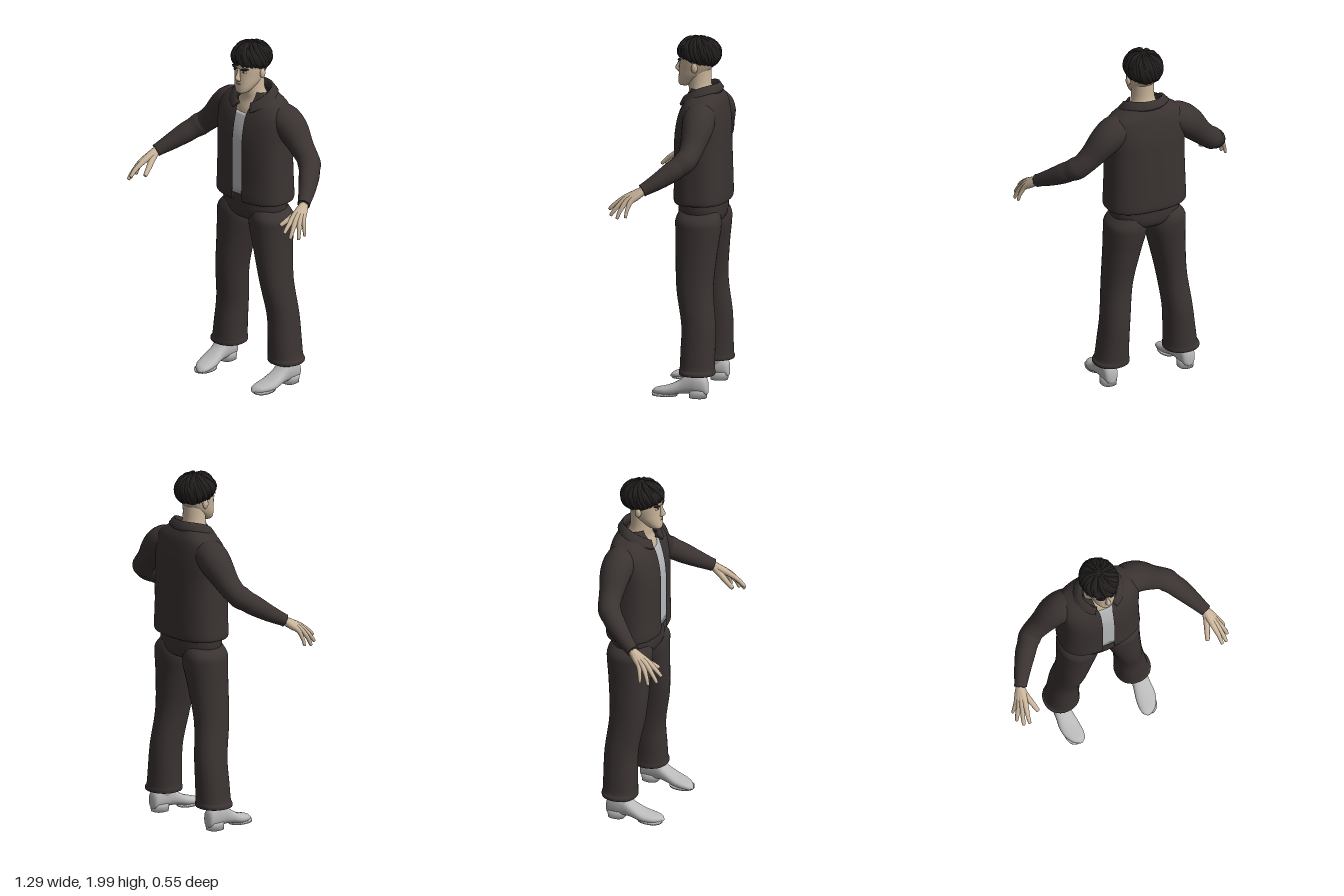
import * as THREE from 'three';
import { mergeGeometries } from 'three/addons/utils/BufferGeometryUtils.js';

const V = (x, y, z) => new THREE.Vector3(x, y, z);
const mat = (name, color, side = THREE.FrontSide) => {
  const m = new THREE.MeshStandardMaterial({ color, side });
  m.name = name;
  return m;
};

// Smoothly resample rows of numbers, n steps between neighbours
function smooth(rows, n = 5) {
  const out = [];
  const at = (i) => rows[Math.min(Math.max(i, 0), rows.length - 1)];
  for (let i = 0; i < rows.length - 1; i++) {
    for (let k = 0; k < n; k++) {
      const t = k / n;
      out.push(rows[i].map((b, c) => {
        const a = at(i - 1)[c], d = at(i + 1)[c], e = at(i + 2)[c];
        return b + 0.5 * t * (d - a + t * (2 * a - 5 * b + 4 * d - e + t * (3 * (b - d) + e - a)));
      }));
    }
  }
  out.push(rows[rows.length - 1]);
  return out;
}

// Skin a list of point rings; closed rings get end caps
function skin(rings, closed = true) {
  const m = rings[0].length, pos = [], idx = [];
  rings.forEach((r) => r.forEach((p) => pos.push(p.x, p.y, p.z)));
  for (let i = 0; i < rings.length - 1; i++) {
    for (let j = 0; j < (closed ? m : m - 1); j++) {
      const a = i * m + j, b = i * m + (j + 1) % m;
      idx.push(a, b, a + m, b, b + m, a + m);
    }
  }
  if (closed) {
    [0, rings.length - 1].forEach((i) => {
      const c = rings[i].reduce((s, p) => s.add(p), V(0, 0, 0)).divideScalar(m);
      const ci = pos.length / 3;
      pos.push(c.x, c.y, c.z);
      for (let j = 0; j < m; j++) {
        const a = i * m + j, b = i * m + (j + 1) % m;
        if (i === 0) idx.push(b, a, ci); else idx.push(a, b, ci);
      }
    });
  }
  const g = new THREE.BufferGeometry();
  g.setAttribute('position', new THREE.Float32BufferAttribute(pos, 3));
  g.setIndex(idx);
  g.computeVertexNormals();
  return g;
}

const pw = (v, e) => Math.sign(v) * Math.abs(v) ** e;

// Stack of level sections: rows [y, x, z, halfWidth, halfDepth, frontGap]
function stack(rows, { e = 1, seg = 32, open = false, steps = 5 } = {}) {
  return skin(smooth(rows, steps).map(([y, x, z, rx, rz, gap]) => {
    const a0 = open ? Math.asin((gap / rx) ** (1 / e)) : 0;
    return Array.from({ length: open ? seg + 1 : seg }, (_, j) => {
      const a = a0 + (j / seg) * (2 * Math.PI - 2 * a0);
      return V(x + rx * pw(Math.sin(a), e), y, z + rz * pw(Math.cos(a), e));
    });
  }), !open);
}

// Round limb along a path: rows [x, y, z, radius]
function limb(rows, seg = 16, steps = 4) {
  const s = smooth(rows, steps), p = s.map((r) => V(r[0], r[1], r[2]));
  return skin(s.map((r, i) => {
    const t = p[Math.min(i + 1, p.length - 1)].clone().sub(p[Math.max(i - 1, 0)]).normalize();
    const u = V(0.13, 0.2, 0.97).cross(t).normalize(), v = t.clone().cross(u);
    return Array.from({ length: seg }, (_, j) => {
      const a = (j / seg) * 2 * Math.PI;
      return p[i].clone().addScaledVector(u, r[3] * Math.cos(a)).addScaledVector(v, r[3] * Math.sin(a));
    });
  }));
}

export function createModel() {
  const model = new THREE.Group();
  const cloth = mat('dark cloth', 0x3a3332, THREE.DoubleSide);
  const skinMat = mat('skin', 0xcbb69c);
  const hairMat = mat('black hair', 0x221e1e);
  const shirtMat = mat('light shirt', 0xb9babd);
  const shoeMat = mat('pale shoe', 0xbababa);
  const eyeMat = mat('eye white', 0xd8d4cc);
  const lipMat = mat('lips', 0xa58672);
  const add = (name, geo, material, pos, scale) => {
    const mesh = new THREE.Mesh(geo, material);
    mesh.name = name;
    if (pos) mesh.position.set(...pos);
    if (scale) mesh.scale.set(...scale);
    model.add(mesh);
    return mesh;
  };
  const ball = new THREE.SphereGeometry(1, 24, 16);

  // Jacket body, open down the front, hem rolled inward
  add('jacket', stack([
    [1.11, 0, -0.12, 0.205, 0.13, 0.035], [1.075, 0, -0.12, 0.222, 0.14, 0.037],
    [1.08, 0, -0.12, 0.234, 0.149, 0.036], [1.11, 0, -0.12, 0.236, 0.152, 0.034],
    [1.2, 0, -0.12, 0.232, 0.15, 0.034], [1.4, 0, -0.117, 0.228, 0.147, 0.034],
    [1.5, 0, -0.12, 0.234, 0.14, 0.034], [1.58, 0, -0.125, 0.232, 0.125, 0.036],
    [1.64, 0, -0.133, 0.2, 0.105, 0.048], [1.68, 0, -0.135, 0.14, 0.085, 0.056],
    [1.71, 0, -0.13, 0.1, 0.075, 0.06],
  ], { e: 0.78, seg: 64, open: true }), cloth);

  // Folded collar: a closed profile carried round the neck
  const collar = [];
  for (let i = 0; i <= 40; i++) {
    const a = 0.48 + (i / 40) * (2 * Math.PI - 0.96), f = ((1 + Math.cos(a)) / 2) ** 2;
    collar.push([
      [0.085, 0.08, 1.69, 0.07], [0.1, 0.092, 1.73, 0.085], [0.112, 0.1, 1.737, 0.088],
      [0.147, 0.122, 1.702, 0.095], [0.138, 0.115, 1.685, 0.09],
    ].map(([rx, rz, y, drop]) => V(rx * Math.sin(a), y - drop * f, -0.108 + rz * Math.cos(a))));
  }
  add('collar', skin(collar), cloth);

  add('shirt', stack([
    [1.11, 0, -0.115, 0.19, 0.132], [1.4, 0, -0.115, 0.19, 0.132],
    [1.5, 0, -0.12, 0.19, 0.127], [1.585, 0, -0.125, 0.17, 0.11],
  ], { e: 0.78 }), shirtMat);
  add('neck', stack([
    [1.5, 0, -0.125, 0.15, 0.11], [1.6, 0, -0.125, 0.13, 0.1], [1.66, 0, -0.115, 0.085, 0.075],
    [1.72, 0, -0.1, 0.066, 0.064], [1.82, 0, -0.1, 0.062, 0.064],
  ]), skinMat);

  // Trousers
  add('hips', stack([
    [0.935, 0, -0.12, 0.04, 0.05], [0.965, 0, -0.12, 0.15, 0.11],
    [1.02, 0, -0.12, 0.198, 0.13], [1.15, 0, -0.12, 0.198, 0.128],
  ], { e: 0.88 }), cloth);

  for (const s of [1, -1]) {
    const side = s > 0 ? 'left' : 'right';
    add(side + 'TrouserLeg', stack([
      [0.14, s * 0.215, -0.138, 0.085, 0.085], [0.128, s * 0.215, -0.138, 0.1, 0.098],
      [0.145, s * 0.214, -0.138, 0.102, 0.1], [0.165, s * 0.209, -0.138, 0.094, 0.097],
      [0.25, s * 0.203, -0.139, 0.088, 0.096], [0.4, s * 0.19, -0.139, 0.082, 0.095],
      [0.6, s * 0.166, -0.113, 0.083, 0.103], [0.8, s * 0.137, -0.115, 0.102, 0.116],
      [0.92, s * 0.12, -0.12, 0.117, 0.126], [0.98, s * 0.118, -0.12, 0.113, 0.127],
      [1.03, s * 0.1, -0.12, 0.09, 0.11],
    ], { e: 0.93 }), cloth);

    // Sleeve with soft folds at the elbow
    add(side + 'Sleeve', limb([
      [0.14, 1.575, -0.14, 0.08], [0.2, 1.56, -0.145, 0.09], [0.26, 1.515, -0.148, 0.086],
      [0.33, 1.44, -0.14, 0.069], [0.385, 1.39, -0.13, 0.062], [0.415, 1.365, -0.112, 0.064],
      [0.44, 1.343, -0.085, 0.058], [0.465, 1.32, -0.055, 0.057], [0.51, 1.275, 0.01, 0.047],
      [0.55, 1.236, 0.075, 0.036], [0.557, 1.229, 0.087, 0.036],
    ].map(([x, y, z, r]) => [s * x, y, z, r]), 24), cloth);

    // Hand: palm ridges run from the wrist into the fingers
    const fingers = {
      Thumb: [[0.548, 1.195, 0.125], [0.527, 1.16, 0.18], [0.512, 1.135, 0.222], 0.015],
      IndexFinger: [[0.568, 1.188, 0.18], [0.577, 1.155, 0.23], [0.58, 1.122, 0.266], 0.0125],
      MiddleFinger: [[0.586, 1.18, 0.178], [0.602, 1.135, 0.222], [0.61, 1.094, 0.252], 0.0125],
      RingFinger: [[0.6, 1.172, 0.165], [0.623, 1.125, 0.195], [0.634, 1.083, 0.21], 0.012],
      LittleFinger: [[0.607, 1.17, 0.143], [0.627, 1.125, 0.157], [0.636, 1.09, 0.162], 0.0105],
    };
    for (const [name, [a, b, c, r]] of Object.entries(fingers)) {
      const w = [0.558, 1.228, 0.085], mid = w.map((v, k) => (v + a[k]) / 2);
      const end = c.map((v, k) => v + (v - b[k]) * 0.08);
      add(side + name, limb([
        [...w, 0.024], [...mid, 0.021], [...a, r + 0.004], [...b, r], [...c, r * 0.75], [...end, 0.002],
      ].map(([x, y, z, q]) => [s * x, y, z, q]), 10), skinMat);
    }

    // Shoe: cross-sections from heel to toe, with a heel block and sole
    const shoe = smooth([
      [-0.207, 0.237, 0.01, 0.03, 0.07], [-0.195, 0.237, 0.036, 0.018, 0.115],
      [-0.15, 0.236, 0.046, 0.015, 0.15], [-0.1, 0.234, 0.048, 0.02, 0.145],
      [-0.05, 0.232, 0.05, 0.018, 0.1], [0.01, 0.228, 0.057, 0.006, 0.066],
      [0.06, 0.22, 0.053, 0.004, 0.05], [0.1, 0.21, 0.036, 0.004, 0.038], [0.12, 0.203, 0.008, 0.008, 0.02],
    ]);
    add(side + 'Shoe', skin(shoe.map(([z, x, w, lo, hi]) => Array.from({ length: 24 }, (_, j) => {
      const a = (j / 24) * 2 * Math.PI;
      return V(s * x + w * pw(Math.cos(a), 0.85), (lo + hi) / 2 + (hi - lo) / 2 * pw(Math.sin(a), 0.85), z);
    }))), shoeMat);
    add(side + 'ShoeHeel', stack([
      [0, s * 0.236, -0.148, 0.043, 0.048], [0.045, s * 0.236, -0.15, 0.045, 0.052],
    ], { e: 0.8, steps: 1 }), shoeMat);
    add(side + 'ShoeSole', stack([
      [0, s * 0.222, 0.045, 0.05, 0.07], [0.014, s * 0.222, 0.045, 0.053, 0.072],
    ], { e: 0.9, steps: 1 }), shoeMat);
    add(side + 'Ankle', stack([
      [0.08, s * 0.234, -0.125, 0.045, 0.06], [0.2, s * 0.222, -0.135, 0.046, 0.058],
    ], { steps: 1 }), shoeMat);

    // Features of the face
    add(side + 'Ear', ball, skinMat, [s * 0.084, 1.825, -0.088], [0.012, 0.028, 0.018]);
    add(side + 'Eye', ball, eyeMat, [s * 0.034, 1.845, 0.005], [0.014, 0.006, 0.008]);
    add(side + 'Iris', ball, hairMat, [s * 0.033, 1.846, 0.009], [0.007, 0.006, 0.006]);
    add(side + 'Eyebrow', ball, hairMat, [s * 0.037, 1.862, 0.008], [0.025, 0.006, 0.01])
      .rotation.set(0, s * 0.35, s * 0.15);
  }

  // Head
  add('head', stack([
    [1.712, 0, -0.012, 0.022, 0.024], [1.722, 0, -0.018, 0.038, 0.038], [1.745, 0, -0.034, 0.054, 0.055],
    [1.775, 0, -0.055, 0.067, 0.074], [1.81, 0, -0.073, 0.075, 0.09], [1.85, 0, -0.085, 0.082, 0.101],
    [1.9, 0, -0.092, 0.085, 0.106], [1.95, 0, -0.095, 0.07, 0.09], [1.975, 0, -0.095, 0.04, 0.05],
  ], { e: 0.93 }), skinMat);
  add('nose', stack([
    [1.785, 0, 0.012, 0.01, 0.01], [1.797, 0, 0.018, 0.016, 0.018], [1.81, 0, 0.02, 0.013, 0.021],
    [1.835, 0, 0.013, 0.009, 0.016], [1.86, 0, 0.007, 0.011, 0.012],
  ], { seg: 16 }), skinMat);
  add('mouth', ball, lipMat, [0, 1.769, 0.01], [0.025, 0.006, 0.012]);

  // Hair: a cap covered with locks that swirl out from the crown
  const c = [-0.005, 1.896, -0.095], rad = [0.096, 0.092, 0.112];
  add('hairCap', ball, hairMat, c, rad);
  let seed = 7;
  const rnd = () => (seed = (seed * 16807) % 2147483647) / 2147483647;
  const locks = [];
  for (let i = 0; i < 90; i++) {
    const phi = i * 2.39996, start = 0.1 + 0.9 * rnd();
    const end = 1.6 + 0.42 * (1 - Math.cos(phi + 0.4)) + 0.25 * rnd(), width = 0.012 + 0.005 * rnd();
    locks.push(limb([0, 0.25, 0.5, 0.75, 1].map((t, k) => {
      const th = start + (end - start) * t, a = phi + 0.45 * t, q = 0.98 + 0.05 * t * rnd();
      return [c[0] + q * rad[0] * Math.sin(th) * Math.sin(a), c[1] + q * rad[1] * Math.cos(th),
        c[2] + q * rad[2] * Math.sin(th) * Math.cos(a), width * [0.4, 0.9, 1, 0.8, 0.15][k]];
    }), 7, 3));
  }
  add('hairLocks', mergeGeometries(locks), hairMat);

  return model;
}
